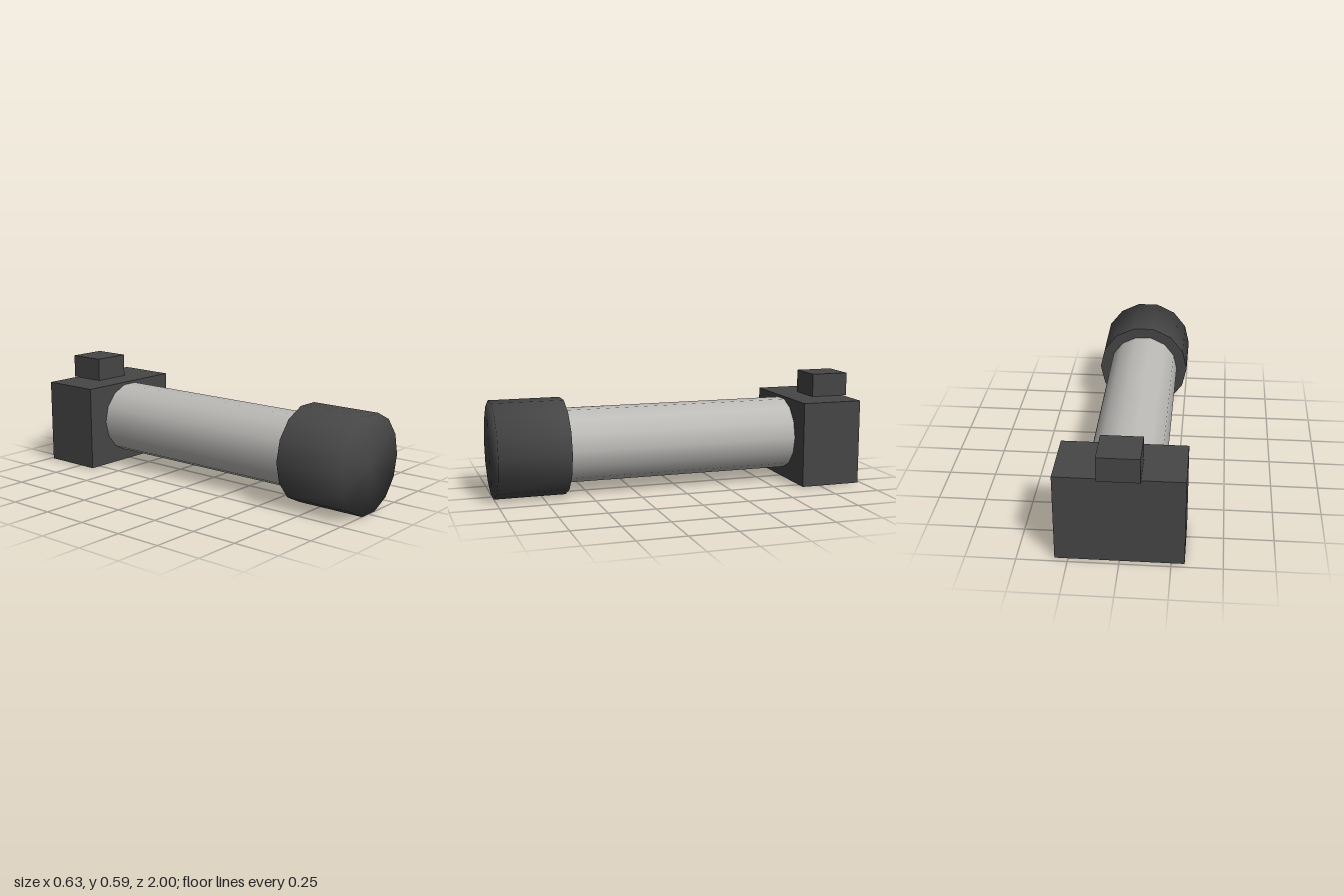
import * as THREE from 'three';

const SIDES = 14;
const AXIS_Y = 0.255;

export function createModel() {
  const model = new THREE.Group();
  const dark = new THREE.MeshStandardMaterial({ color: 0x464646 });
  dark.name = 'charcoal';
  const grey = new THREE.MeshStandardMaterial({ color: 0xbcbbb8 });
  grey.name = 'light grey';

  const add = (name, geometry, material, x, y, z) => {
    const mesh = new THREE.Mesh(geometry, material);
    mesh.name = name;
    mesh.position.set(x, y, z);
    model.add(mesh);
    return mesh;
  };

  // Round shaft lying along z, with polygon corners on the x axis
  const shaftBack = -0.65, shaftFront = 0.64;
  const shaft = new THREE.CylinderGeometry(0.2, 0.2, shaftFront - shaftBack, SIDES, 1, false, Math.PI / 2);
  shaft.rotateX(Math.PI / 2);
  add('shaft', shaft, grey, 0, AXIS_Y, (shaftFront + shaftBack) / 2);

  // Front cap: wall and flat face share smooth normals around the rim
  const profile = [[0.26, 0.62], [0.26, 1], [0, 1]].map(([r, z]) => new THREE.Vector2(r, z));
  const cap = new THREE.LatheGeometry(profile, SIDES, Math.PI / 2);
  cap.rotateX(Math.PI / 2);
  add('frontCap', cap, dark, 0, AXIS_Y - 0.001, 0);

  // Closed rear face of the cap
  const capBack = new THREE.CircleGeometry(0.26, SIDES);
  capBack.rotateY(Math.PI);
  add('frontCapBack', capBack, dark, 0, AXIS_Y - 0.001, 0.62);

  // Rear block and the small block on top that overhangs its back edge
  add('rearBlock', new THREE.BoxGeometry(0.63, 0.461, 0.333), dark, 0, 0.234, -0.811);
  add('topBlock', new THREE.BoxGeometry(0.208, 0.127, 0.208), dark, 0, 0.528, -0.896);

  return model;
}
